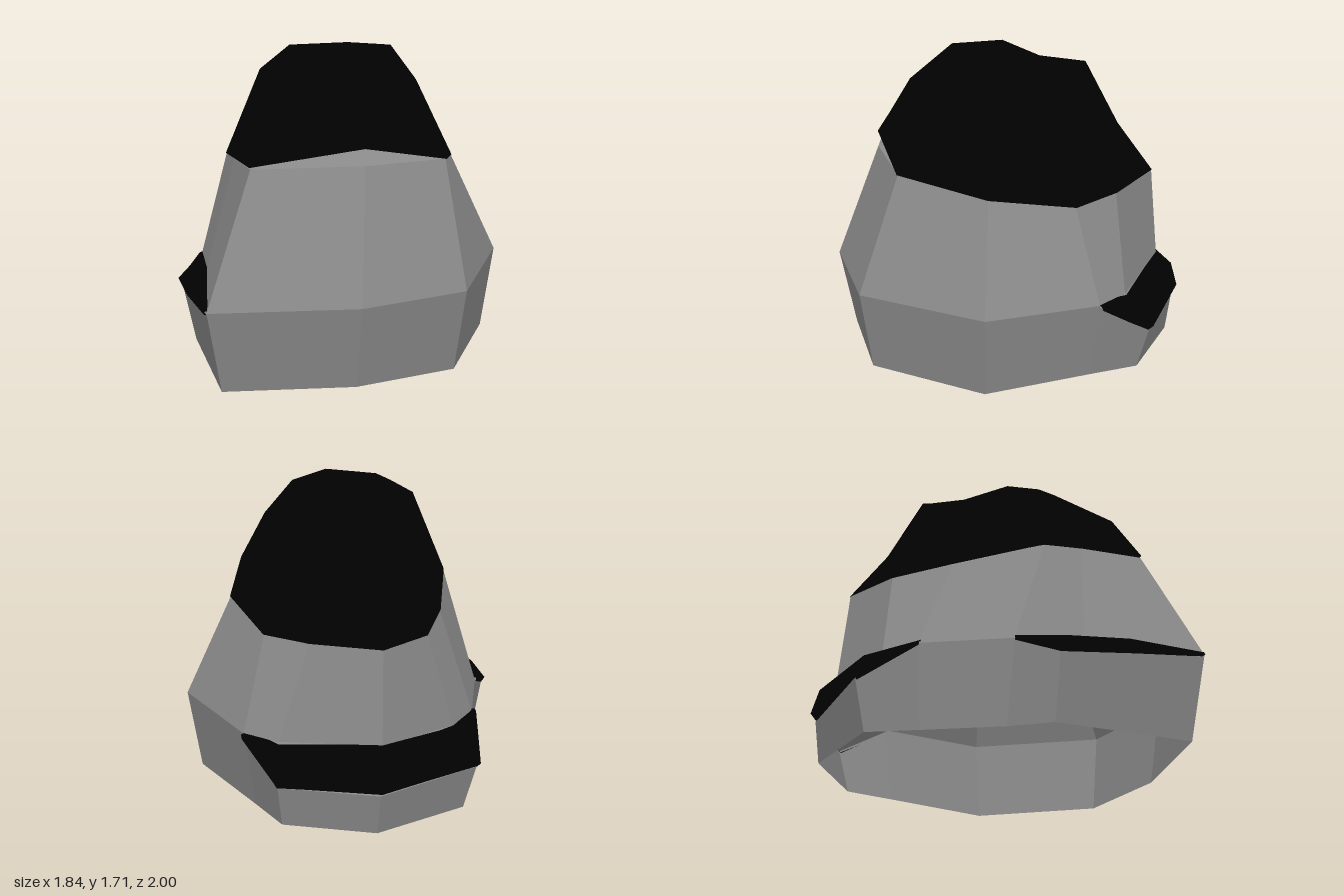
import * as THREE from 'three';

const stone = new THREE.MeshStandardMaterial({ color: 0x8a8a8a, side: THREE.DoubleSide });
const dark = new THREE.MeshStandardMaterial({ color: 0x010101, side: THREE.DoubleSide });

// Skin over upright columns of points (listed counter-clockwise from above, each from bottom to top).
// With an apex the columns form a closed loop that is fanned shut at the top.
// Faceted skins give each four-sided facet one even normal; the others are smooth.
function skin(name, columns, material, { apex, faceted = false }) {
  const rows = columns[0].length, n = columns.length, index = [];
  const points = columns.flat();
  if (apex) points.push(apex);
  for (let i = 0; i < (apex ? n : n - 1); i++) {
    const a = i * rows, b = ((i + 1) % n) * rows;
    for (let j = 0; j < rows - 1; j++) {
      index.push(a + j, b + j, b + j + 1, a + j, b + j + 1, a + j + 1);
    }
    if (apex) index.push(a + rows - 1, b + rows - 1, points.length - 1);
  }
  let geometry = new THREE.BufferGeometry();
  geometry.setAttribute('position', new THREE.Float32BufferAttribute(points.flat(), 3));
  geometry.setIndex(index);
  if (faceted) geometry = geometry.toNonIndexed();
  geometry.computeVertexNormals();
  if (faceted) evenFacets(geometry, rows);
  const mesh = new THREE.Mesh(geometry, material);
  mesh.name = name;
  return mesh;
}

// Replaces the two triangle normals of every facet with the normal across its diagonals
function evenFacets(geometry, rows) {
  const { position, normal } = geometry.attributes;
  const corner = (k) => new THREE.Vector3().fromBufferAttribute(position, k);
  const perColumn = (rows - 1) * 6 + 3;
  for (let start = 0; start < position.count; start += perColumn) {
    for (let f = start; f < start + perColumn - 3; f += 6) {
      const across = corner(f + 2).sub(corner(f));
      const up = corner(f + 5).sub(corner(f + 1));
      const facing = across.cross(up).normalize();
      for (let k = f; k < f + 6; k++) normal.setXYZ(k, facing.x, facing.y, facing.z);
    }
  }
}

const mix = (a, b, t) => a.map((v, i) => v + (b[i] - v) * t);

export function createModel() {
  const group = new THREE.Group();
  group.name = 'cappedBoulder';

  // Boulder: foot, optional ledge, shoulder, rim; open underneath
  const boulder = [
    [[0.85, 0, 0.08], null, [0.92, 0.47, 0.07], [0.65, 1.04, 0.07]],
    [[0.60, 0, -0.49], null, [0.66, 0.45, -0.53], [0.52, 0.96, -0.39]],
    [[0.49, 0, -0.75], [0.52, 0.25, -0.81], [0.49, 0.45, -0.67], [0.31, 0.97, -0.61]],
    [[0.01, 0, -0.94], [0, 0.23, -0.97], [-0.03, 0.47, -0.87], [-0.04, 0.99, -0.82]],
    [[-0.52, 0, -0.74], [-0.57, 0.27, -0.80], [-0.47, 0.46, -0.66], [-0.33, 0.98, -0.61]],
    [[-0.60, 0, -0.47], null, [-0.63, 0.46, -0.49], [-0.48, 1.01, -0.30]],
    [[-0.73, 0, -0.05], null, [-0.79, 0.455, -0.02], [-0.63, 1.10, 0.18]],
    [[-0.83, 0, 0.17], [-0.90, 0.36, 0.19], [-0.76, 0.47, 0.35], [-0.59, 1.12, 0.40]],
    [[-0.68, 0, 0.92], null, [-0.745, 0.46, 1.0], [-0.51, 1.14, 0.76]],
    [[0.02, 0, 0.92], null, [0.04, 0.46, 1.0], [0.08, 1.14, 0.735]],
    [[0.57, 0, 0.73], null, [0.62, 0.46, 0.78], [0.53, 1.13, 0.56]],
  ].map(([foot, ledge, shoulder, rim]) => [foot, ledge ?? mix(foot, shoulder, 0.98), shoulder, rim]);
  group.add(skin('boulder', boulder, stone, { apex: [0, 1.36, 0], faceted: true }));

  // Rounded cap: edge, flank, crown
  const cap = [
    [[0.655, 1.04, 0.07], [0.44, 1.48, 0.08], [0.29, 1.68, 0.10]],
    [[0.525, 0.96, -0.395], [0.40, 1.28, -0.32], [0.20, 1.57, -0.25]],
    [[0.31, 0.97, -0.615], [0.22, 1.19, -0.54], [0.05, 1.57, -0.40]],
    [[-0.04, 0.985, -0.825], [-0.05, 1.26, -0.62], [-0.12, 1.60, -0.43]],
    [[-0.33, 0.975, -0.615], [-0.28, 1.27, -0.50], [-0.18, 1.57, -0.38]],
    [[-0.485, 1.01, -0.305], [-0.40, 1.37, -0.25], [-0.22, 1.59, -0.20]],
    [[-0.635, 1.10, 0.18], [-0.44, 1.57, 0.20], [-0.27, 1.68, 0.05]],
    [[-0.515, 1.15, 0.765], [-0.46, 1.39, 0.62], [-0.25, 1.66, 0.34]],
    [[0.08, 1.23, 0.735], [0.05, 1.57, 0.47], [0.05, 1.70, 0.33]],
    [[0.535, 1.13, 0.565], [0.40, 1.43, 0.44], [0.26, 1.66, 0.25]],
  ];
  group.add(skin('cap', cap, dark, { apex: [0.04, 1.71, 0.2] }));

  // Drifts on the ledges: lip, outer edge, crest, inner edge
  const backDrift = [
    [[0.66, 0.43, -0.53], [0.675, 0.43, -0.55], [0.675, 0.45, -0.54], [0.65, 0.455, -0.52]],
    [[0.52, 0.24, -0.80], [0.53, 0.27, -0.83], [0.53, 0.38, -0.77], [0.485, 0.45, -0.66]],
    [[0, 0.22, -0.95], [-0.02, 0.27, -1.0], [-0.02, 0.41, -0.96], [-0.03, 0.48, -0.86]],
    [[-0.57, 0.26, -0.79], [-0.59, 0.29, -0.81], [-0.56, 0.40, -0.76], [-0.46, 0.465, -0.65]],
    [[-0.63, 0.45, -0.49], [-0.655, 0.455, -0.49], [-0.65, 0.47, -0.48], [-0.62, 0.47, -0.48]],
  ];
  const sideDrift = [
    [[-0.79, 0.445, -0.02], [-0.80, 0.45, -0.02], [-0.80, 0.465, -0.02], [-0.78, 0.47, -0.01]],
    [[-0.90, 0.35, 0.19], [-0.92, 0.38, 0.19], [-0.86, 0.46, 0.25], [-0.755, 0.49, 0.29]],
    [[-0.83, 0.40, 0.60], [-0.855, 0.42, 0.60], [-0.81, 0.49, 0.58], [-0.75, 0.51, 0.55]],
    [[-0.745, 0.45, 0.985], [-0.757, 0.455, 1.0], [-0.755, 0.47, 0.995], [-0.74, 0.47, 0.985]],
  ];
  group.add(skin('backDrift', backDrift, dark, {}), skin('sideDrift', sideDrift, dark, {}));
  return group;
}
